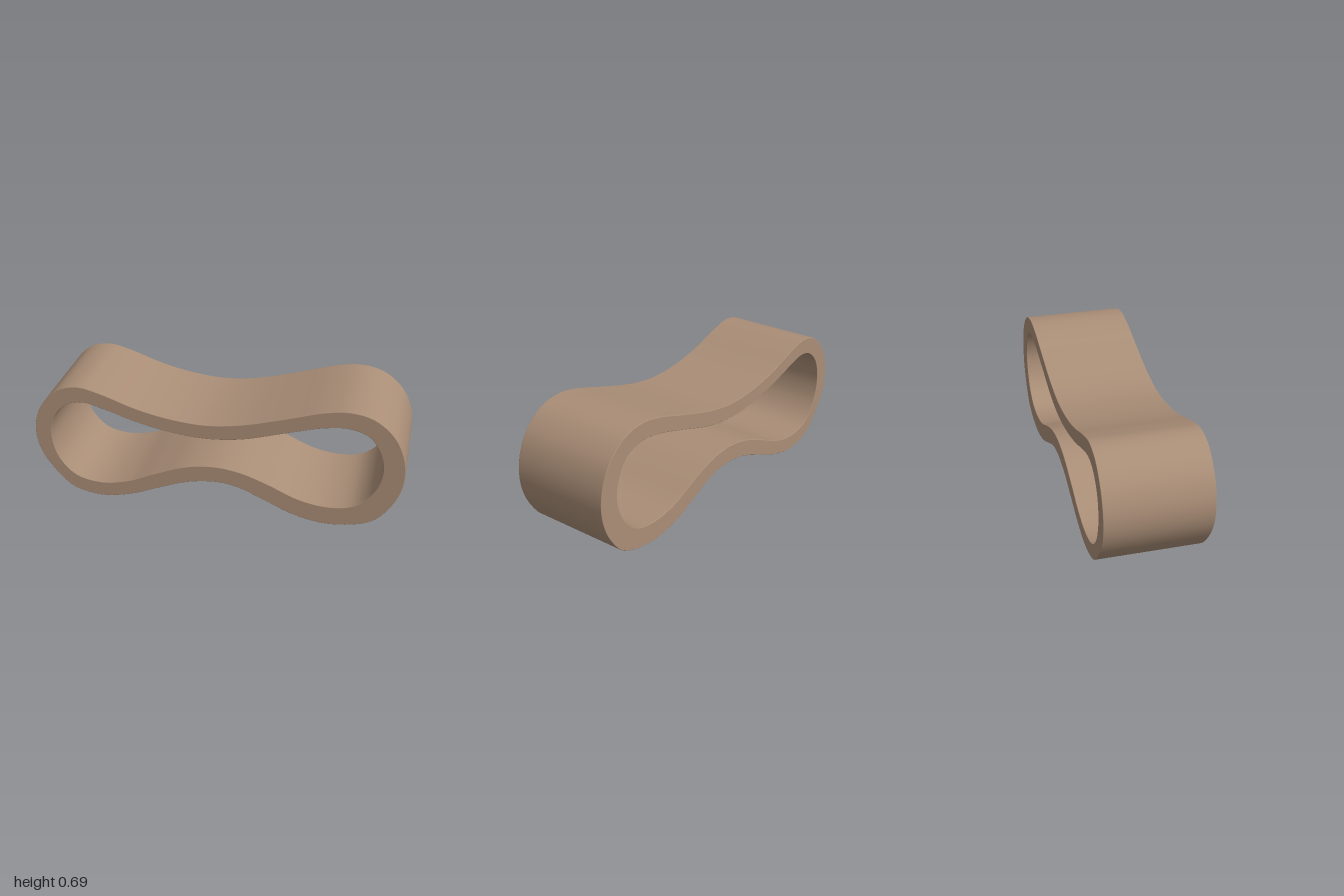
import * as THREE from 'three';
import { toCreasedNormals } from 'three/addons/utils/BufferGeometryUtils.js';

// Smooth closed outline through a few control points
function outline(points) {
  const curve = new THREE.CatmullRomCurve3(
    points.map(([x, y]) => new THREE.Vector3(x, y, 0)), true, 'centripetal');
  return curve.getPoints(192).slice(0, -1).map(p => new THREE.Vector2(p.x, p.y));
}

export function createModel() {
  const group = new THREE.Group();
  group.name = 'pinchedRing';

  const brown = new THREE.MeshStandardMaterial({ color: 0xaa8e77 });
  brown.name = 'warm brown';

  // Outer edge of the band, clockwise from the left-hand end of the front
  const outer = outline([
    [-1, 0.365], [-0.987, 0.46], [-0.945, 0.55], [-0.855, 0.64], [-0.74, 0.67],
    [-0.62, 0.645], [-0.42, 0.577], [-0.23, 0.537], [-0.04, 0.525], [0.145, 0.55],
    [0.385, 0.617], [0.57, 0.673], [0.7, 0.69], [0.825, 0.662], [0.93, 0.575],
    [0.983, 0.47], [1, 0.365], [0.99, 0.27], [0.95, 0.17], [0.85, 0.052],
    [0.635, 0], [0.44, 0.03], [0.25, 0.112], [0.13, 0.162], [0.01, 0.18],
    [-0.15, 0.158], [-0.31, 0.099], [-0.47, 0.036], [-0.645, 0.004], [-0.805, 0.04],
    [-0.92, 0.155], [-0.982, 0.265],
  ]);

  // Inner edge of the band, reversed so that its wall faces the opening
  const inner = outline([
    [-0.91, 0.365], [-0.877, 0.49], [-0.8, 0.562], [-0.715, 0.58], [-0.605, 0.554],
    [-0.415, 0.495], [-0.23, 0.457], [-0.04, 0.443], [0.145, 0.463], [0.385, 0.532],
    [0.57, 0.583], [0.7, 0.595], [0.805, 0.56], [0.865, 0.475], [0.888, 0.365],
    [0.848, 0.23], [0.755, 0.137], [0.625, 0.108], [0.465, 0.13], [0.28, 0.208],
    [0.145, 0.255], [0, 0.274], [-0.16, 0.252], [-0.335, 0.185], [-0.495, 0.116],
    [-0.645, 0.089], [-0.785, 0.12], [-0.877, 0.222],
  ]).reverse();

  const shape = new THREE.Shape(outer);
  shape.holes.push(new THREE.Path(inner));

  // Extruded band with a tiny softened rim
  const width = 0.554, rim = 0.003;
  const extruded = new THREE.ExtrudeGeometry(shape, {
    depth: width - 2 * rim, bevelEnabled: true, bevelThickness: rim,
    bevelSize: rim, bevelOffset: -rim, bevelSegments: 3,
  });
  extruded.translate(0, 0, rim - width / 2);

  const band = new THREE.Mesh(toCreasedNormals(extruded, 0.2), brown);
  band.name = 'band';
  group.add(band);
  return group;
}
